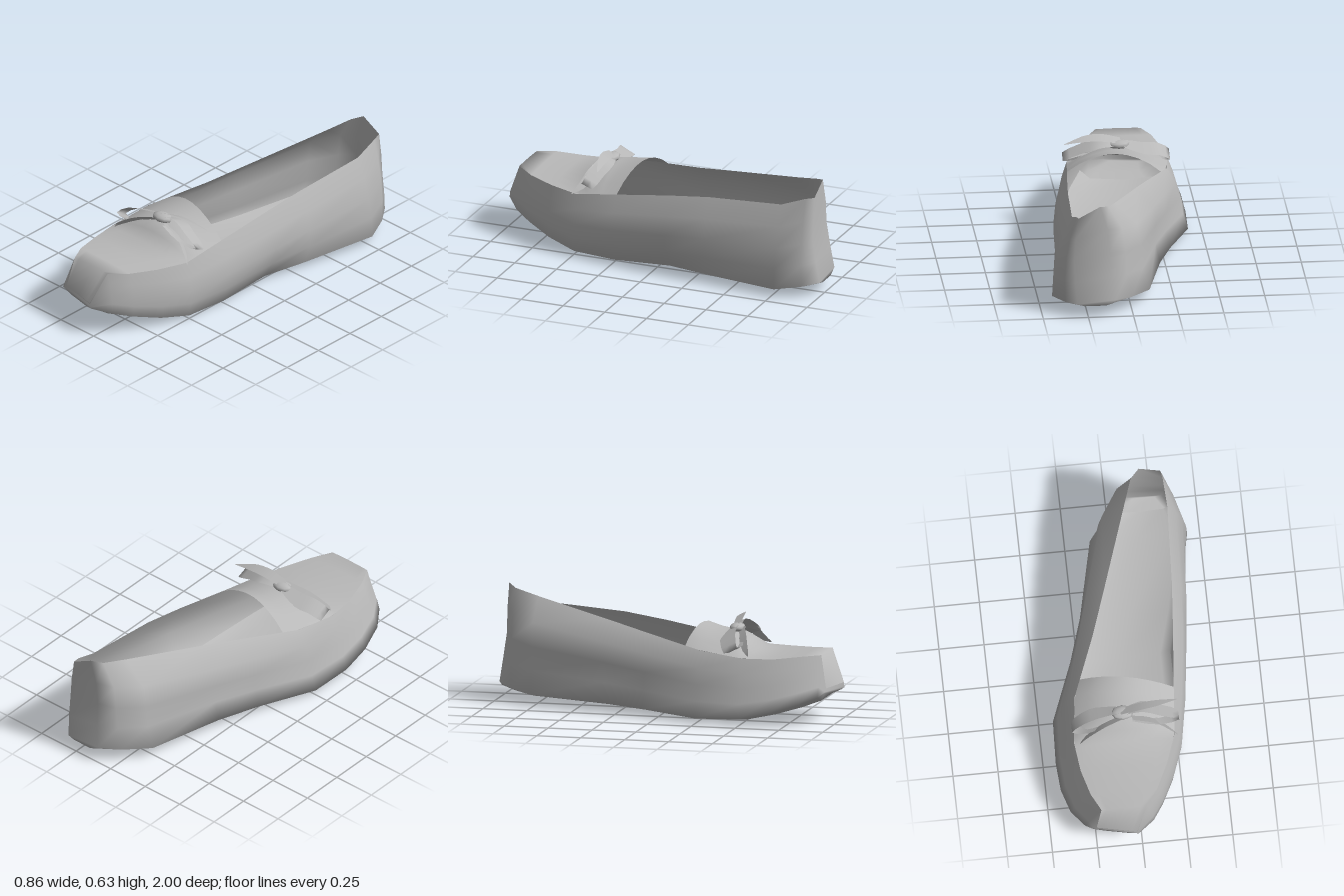
import * as THREE from 'three';

// Stations heel to toe: z, sole left x, sole right x, bottom y,
// rim left x, y, rim right x, y, bulge of the left and right wall
const stations = [
  [-0.995, 0.10, 0.31, 0.07, 0.18, 0.64, 0.30, 0.575, 0.02, 0.02],
  [-0.91, 0.00, 0.37, 0.055, 0.13, 0.62, 0.31, 0.565, 0.045, 0.025],
  [-0.77, -0.11, 0.43, 0.04, 0.08, 0.59, 0.32, 0.515, 0.075, 0.03],
  [-0.33, -0.21, 0.34, 0.03, -0.075, 0.505, 0.30, 0.485, 0.07, 0.06],
  [-0.08, -0.29, 0.27, 0.02, -0.165, 0.455, 0.28, 0.45, 0.055, 0.08],
  [0.25, -0.42, 0.27, 0.005, -0.30, 0.395, 0.25, 0.395, 0.02, 0.055],
  [0.50, -0.43, 0.25, 0.012, -0.33, 0.365, 0.23, 0.355, 0.005, 0.03],
  [0.67, -0.42, 0.20, 0.05, -0.31, 0.365, 0.17, 0.36, 0.005, 0.02],
  [0.82, -0.38, 0.13, 0.095, -0.27, 0.38, 0.10, 0.37, 0.005, 0.015],
  [0.92, -0.31, 0.07, 0.13, -0.22, 0.385, 0.03, 0.385, 0, 0.01],
  [1.00, -0.27, -0.02, 0.17, -0.25, 0.205, -0.03, 0.205, 0, 0],
];

// Linear reading of the station table at any z
function stationAt(z) {
  let i = 0;
  while (i < stations.length - 2 && stations[i + 1][0] < z) i++;
  const a = stations[i], b = stations[i + 1];
  const t = THREE.MathUtils.clamp((z - a[0]) / (b[0] - a[0]), 0, 1);
  return a.map((v, k) => v + (b[k] - v) * t);
}

// The tip of the toe is cut back towards its right-hand corner
const toeSkew = (x, z) => (z > 0.95 ? z - 0.05 * THREE.MathUtils.clamp((-0.03 - x) / 0.24, 0, 1) : z);

// Smooth skin over rows of equal length; ends may be closed
function loft(rows, closeEnds) {
  const n = rows[0].length, index = [];
  for (let j = 0; j < rows.length - 1; j++)
    for (let i = 0; i < n - 1; i++) {
      const a = j * n + i, b = a + n;
      index.push(a, a + 1, b, a + 1, b + 1, b);
    }
  if (closeEnds)
    for (const [base, flip] of [[0, false], [(rows.length - 1) * n, true]])
      for (let i = 0; i < n / 2 - 1; i++) {
        const a = base + i, b = a + 1, c = base + n - 2 - i, d = c + 1;
        if (flip) index.push(a, b, c, a, c, d);
        else index.push(a, c, b, a, d, c);
      }
  const g = new THREE.BufferGeometry();
  g.setAttribute('position', new THREE.Float32BufferAttribute(rows.flat(2), 3));
  g.setIndex(index);
  g.computeVertexNormals();
  return g;
}

// Cross-section of the shell, left rim down under the sole to the right rim;
// the left wall bulges highest just below its rim
function shellRow([z, xl, xr, yb, lx, ly, rx, ry, bulgeL, bulgeR], j) {
  const lean = j === 0 ? 0.035 : 0;
  const side = (sx, sy, tx, ty, bulge, power) => [0, 0.25, 0.5, 0.75, 1].map((t) => {
    const x = sx + (tx - sx) * t + bulge * Math.sin(Math.PI * Math.pow(t, power));
    return [x, sy + (ty - sy) * t, toeSkew(x, z) + lean * Math.min(1, 2 * t)];
  });
  const lift = Math.min(0.03, (ly - yb) * 0.3), inset = 0.25 * (xr - xl);
  return [
    ...side(xl, yb + lift, lx, ly, -bulgeL, 2.2).reverse(),
    [xl + inset, yb, toeSkew(xl + inset, z)],
    [xr - 0.04, yb, toeSkew(xr - 0.04, z)],
    ...side(xr, yb + lift * 0.4, rx, ry, bulgeR, 1),
  ];
}

// Flat strip following a path, its width lying across the given direction
function ribbon(points, widths, across) {
  const curve = new THREE.CatmullRomCurve3(points.map((p) => new THREE.Vector3(...p)));
  const dir = new THREE.Vector3(...across).normalize();
  const rows = [], steps = 10;
  for (let i = 0; i <= steps; i++) {
    const t = i / steps, p = curve.getPoint(t), f = t * (widths.length - 1);
    const k = Math.min(Math.floor(f), widths.length - 2);
    const w = widths[k] + (widths[k + 1] - widths[k]) * (f - k);
    rows.push([-1, 0, 1].map((s) => p.clone().addScaledVector(dir, s * w / 2).toArray()));
  }
  return loft(rows);
}

export function createModel() {
  const model = new THREE.Group();
  model.name = 'slipOnShoe';
  const grey = new THREE.MeshStandardMaterial({ color: 0xb8b8b8, side: THREE.DoubleSide });
  grey.name = 'grey leather';
  const add = (name, geometry, parent = model) => {
    const mesh = new THREE.Mesh(geometry, grey);
    mesh.name = name;
    parent.add(mesh);
    return mesh;
  };

  // Outer walls and sole
  add('shell', loft(stations.map(shellRow), true));

  // Footbed inside the shell, its edges curling up the walls
  add('insole', loft(stations.slice(1, -2).map(([z, xl, xr, yb]) => [
    [xl + 0.03, yb + 0.09, z], [xl + 0.09, yb + 0.04, z], [(xl + xr) / 2, yb + 0.025, z],
    [xr - 0.06, yb + 0.04, z], [xr - 0.005, yb + 0.09, z]])));

  // Covered toe with a raised band across the instep: z, crown height
  const crowns = [[0.2, 0.105], [0.28, 0.095], [0.35, 0.095], [0.42, 0.1], [0.48, 0.07], [0.53, 0.02],
    [0.67, 0.01], [0.82, 0.005], [0.92, 0.003], [1.0, 0]];
  add('vamp', loft(crowns.map(([z, crown], j) => {
    const row = [];
    for (let i = 0; i <= 8; i++) {
      const t = i / 8, zz = z + (j < 2 ? (t - 0.5) * 0.09 : 0);
      const [, , , , lx, ly, rx, ry] = stationAt(zz);
      const x = lx + (rx - lx) * t;
      row.push([x, ly + (ry - ly) * t + crown * Math.pow(Math.sin(Math.PI * t), 0.85), toeSkew(x, zz)]);
    }
    return row;
  })));

  // Bow: knot, two crumpled loops and loose tails
  const bow = new THREE.Group();
  bow.name = 'bow';
  model.add(bow);
  const knot = add('bowKnot', new THREE.SphereGeometry(0.04, 8, 6), bow);
  knot.scale.set(1.6, 0.6, 1.1);
  knot.position.set(-0.05, 0.49, 0.4);
  add('leftLoop', ribbon(
    [[-0.05, 0.505, 0.39], [-0.18, 0.47, 0.38], [-0.27, 0.455, 0.4], [-0.335, 0.41, 0.43],
      [-0.25, 0.41, 0.45], [-0.06, 0.48, 0.42]], [0.05, 0.1, 0.09, 0.07, 0.05], [0, 0.5, 1]), bow);
  add('rightLoop', ribbon(
    [[-0.05, 0.495, 0.4], [0.06, 0.505, 0.38], [0.16, 0.47, 0.4], [0.26, 0.42, 0.42],
      [0.15, 0.43, 0.45], [0, 0.47, 0.43]], [0.05, 0.09, 0.08, 0.05, 0.05], [0, 0.4, 1]), bow);
  add('upperTail', ribbon(
    [[-0.06, 0.51, 0.4], [0.05, 0.535, 0.39], [0.14, 0.535, 0.38], [0.255, 0.513, 0.36]],
    [0.05, 0.06, 0.05, 0.005], [0, 0.5, 1]), bow);
  add('rightTail', ribbon(
    [[0, 0.48, 0.43], [0.12, 0.45, 0.45], [0.2, 0.39, 0.48], [0.25, 0.36, 0.515]],
    [0.05, 0.05, 0.04, 0.005], [0.3, 0.6, 1]), bow);
  add('leftTail', ribbon(
    [[-0.05, 0.49, 0.42], [-0.18, 0.45, 0.46], [-0.28, 0.39, 0.5], [-0.3, 0.37, 0.52]],
    [0.05, 0.06, 0.05, 0.005], [-0.3, 0.6, 1]), bow);
  return model;
}
